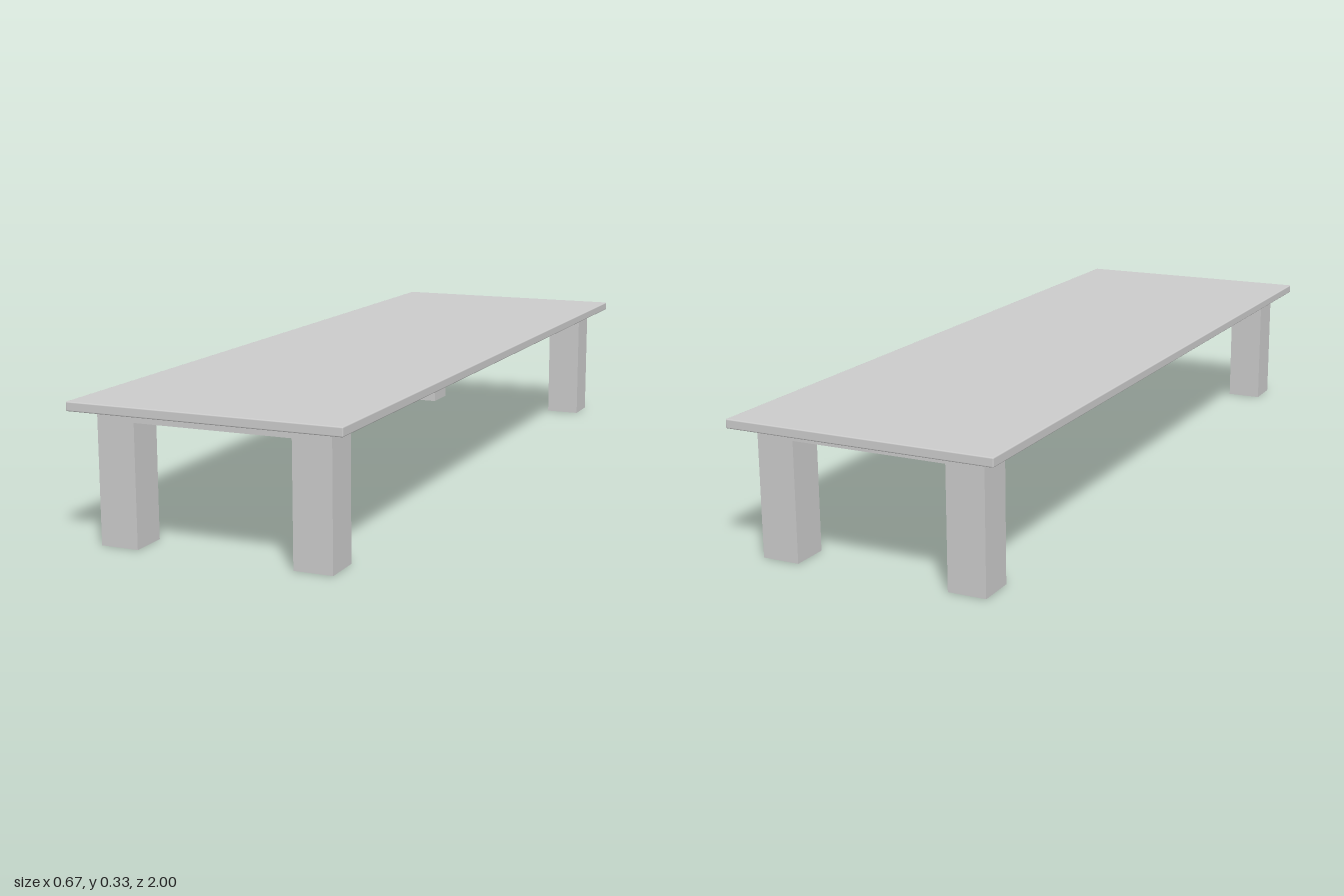
import * as THREE from 'three';
import { RoundedBoxGeometry } from 'three/addons/geometries/RoundedBoxGeometry.js';

export function createModel() {
  const model = new THREE.Group();
  model.name = 'lowTable';
  const material = new THREE.MeshStandardMaterial({ color: 0xcccccc });

  function add(name, geometry, x, y, z) {
    const mesh = new THREE.Mesh(geometry, material);
    mesh.name = name;
    mesh.position.set(x, y, z);
    model.add(mesh);
  }

  const height = 0.334, topThickness = 0.022;
  const topBottom = height - topThickness;
  const apronBottom = 0.288;
  const halfX = 0.285, halfZ = 0.95, legSize = 0.093;

  // Thin top with slightly softened edges
  add('tableTop', new RoundedBoxGeometry(0.665, topThickness, 2, 2, 0.003),
    0, height - topThickness / 2, 0);

  // Solid support slab, flush with the outer faces of the legs
  add('apron', new THREE.BoxGeometry(halfX * 2, topBottom - apronBottom, halfZ * 2),
    0, (topBottom + apronBottom) / 2, 0);

  // Four square legs
  const leg = new THREE.BoxGeometry(legSize, apronBottom, legSize);
  for (const [sx, side] of [[1, 'Left'], [-1, 'Right']]) {
    for (const [sz, end] of [[1, 'front'], [-1, 'back']]) {
      add(`${end}${side}Leg`, leg,
        sx * (halfX - legSize / 2), apronBottom / 2, sz * (halfZ - legSize / 2));
    }
  }
  return model;
}
